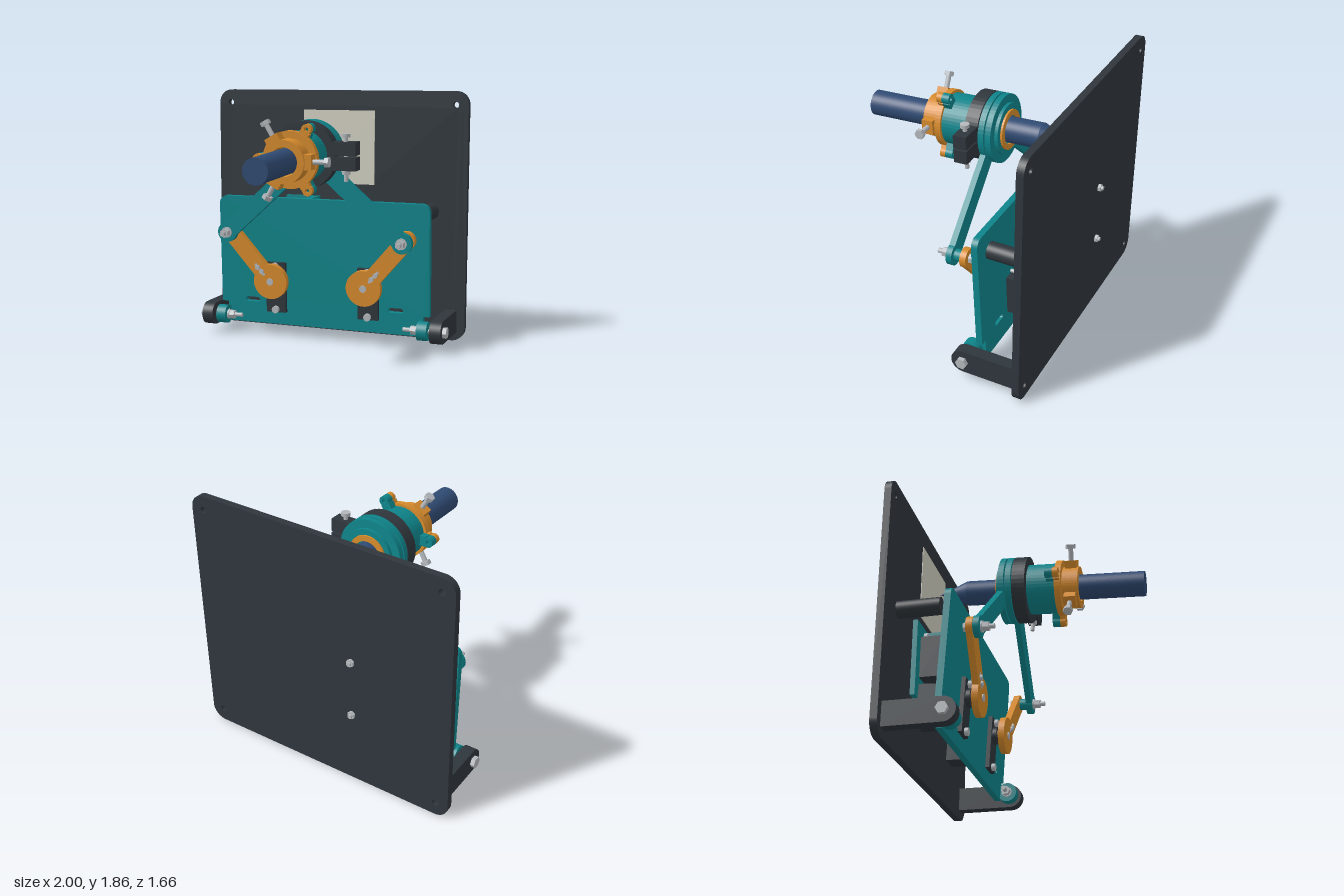
import * as THREE from 'three';

const paint = (name, color) => {
  const m = new THREE.MeshStandardMaterial({ color });
  m.name = name;
  return m;
};
const dark = paint('charcoal', 0x2f363c), teal = paint('teal', 0x0e848a), orange = paint('orange', 0xd58a2c);
const silver = paint('silver', 0xb4b8bc), navy = paint('navy', 0x2f4a72), cream = paint('cream', 0xcfcdbe);

function add(parent, name, geometry, material) {
  const mesh = new THREE.Mesh(geometry, material);
  mesh.name = name;
  parent.add(mesh);
  return mesh;
}

// Box given by its two extreme corners
function box(parent, name, mat, x0, x1, y0, y1, z0, z1) {
  const m = add(parent, name, new THREE.BoxGeometry(x1 - x0, y1 - y0, z1 - z0), mat);
  m.position.set((x0 + x1) / 2, (y0 + y1) / 2, (z0 + z1) / 2);
  return m;
}

// Cylinder along an axis from a to b; u and v are the two other coordinates in xyz order
function rod(parent, name, mat, axis, r, a, b, u, v, sides = 32, rEnd = r) {
  let g = new THREE.CylinderGeometry(rEnd, r, b - a, sides);
  if (sides < 9) { g = g.toNonIndexed(); g.computeVertexNormals(); }
  const mid = (a + b) / 2;
  if (axis === 'x') g.rotateZ(-Math.PI / 2);
  if (axis === 'z') g.rotateX(Math.PI / 2);
  const m = add(parent, name, g, mat);
  if (axis === 'x') m.position.set(mid, u, v);
  else if (axis === 'y') m.position.set(u, mid, v);
  else m.position.set(u, v, mid);
  return m;
}

function extrude(parent, name, mat, shape, z0, z1) {
  const g = new THREE.ExtrudeGeometry(shape, { depth: z1 - z0, bevelEnabled: false, curveSegments: 24 });
  g.translate(0, 0, z0);
  return add(parent, name, g, mat);
}

const hole = (x, y, r) => new THREE.Path().absarc(x, y, r, 0, Math.PI * 2, true);

function ring(parent, name, mat, r, inner, z0, z1, x = 0, y = 0) {
  const s = new THREE.Shape().absarc(x, y, r, 0, Math.PI * 2);
  s.holes.push(hole(x, y, inner));
  return extrude(parent, name, mat, s, z0, z1);
}

function roundedRect(x0, x1, y0, y1, r) {
  const s = new THREE.Shape(), h = Math.PI / 2;
  s.absarc(x1 - r, y1 - r, r, 0, h);
  s.absarc(x0 + r, y1 - r, r, h, 2 * h);
  s.absarc(x0 + r, y0 + r, r, 2 * h, 3 * h);
  s.absarc(x1 - r, y0 + r, r, 3 * h, 4 * h);
  return s;
}

// Lever: two round ends joined by a straight bar of half width w
function lever(parent, name, mat, from, to, r1, r2, w, z0, z1) {
  const dx = to[0] - from[0], dy = to[1] - from[1], len = Math.hypot(dx, dy);
  const a1 = Math.asin(w / r1), a2 = Math.asin(w / r2);
  const s = new THREE.Shape();
  s.absarc(0, 0, r1, a1, 2 * Math.PI - a1);
  s.absarc(len, 0, r2, a2 - Math.PI, Math.PI - a2);
  const m = extrude(parent, name, mat, s, z0, z1);
  m.position.set(from[0], from[1], 0);
  m.rotation.z = Math.atan2(dy, dx);
  return m;
}

function group(parent, name) {
  const g = new THREE.Group();
  g.name = name;
  parent.add(g);
  return g;
}

// Wall plate, paper, hinge brackets and rests
function buildBase(root) {
  const base = group(root, 'base');
  const plate = roundedRect(-1, 1, 0, 1.86, 0.1);
  for (const x of [-0.905, 0.905]) for (const y of [0.1, 1.76]) plate.holes.push(hole(x, y, 0.023));
  extrude(base, 'wallPlate', dark, plate, -0.8, -0.75);
  box(base, 'paper', cream, -0.285, 0.285, 1.15, 1.71, -0.75, -0.745);
  for (const s of [-1, 1]) {
    rod(base, 'rest', dark, 'z', 0.06, -0.75, -0.45, s * 0.73, 0.97);
    const g = group(base, 'hinge');
    const span = (name, mat, r, a, b, n) =>
      rod(g, name, mat, 'x', r, Math.min(s * a, s * b), Math.max(s * a, s * b), 0.15, -0.355, n);
    span('hingeEye', dark, 0.085, 0.855, 0.94);
    const x = s * 0.8975;
    box(g, 'hingeBracket', dark, x - 0.0425, x + 0.0425, 0.065, 0.235, -0.75, -0.355);
    span('hingeBoltHead', silver, 0.042, 0.94, 0.97, 6);
    span('hingeBolt', silver, 0.016, 0.64, 0.95);
    span('hingeWasher', silver, 0.038, 0.74, 0.757);
    span('hingeNut', silver, 0.034, 0.7, 0.74, 6);
  }
}

// Bracket with the lifting servo and its cam
function buildLifter(root) {
  const g = group(root, 'lifter');
  box(g, 'lifterFoot', teal, -0.42, -0.15, 0.49, 1.05, -0.75, -0.715);
  box(g, 'lifterWeb', teal, -0.195, -0.15, 0.49, 1.05, -0.715, -0.48);
  box(g, 'lifterServo', dark, -0.445, -0.195, 0.6, 0.9, -0.68, -0.525);
  box(g, 'lifterServoFlange', dark, -0.15, -0.125, 0.555, 0.94, -0.68, -0.525);
  rod(g, 'lifterShaft', dark, 'x', 0.045, -0.15, -0.06, 0.825, -0.6);
  rod(g, 'lifterCam', orange, 'x', 0.133, -0.06, -0.015, 0.87, -0.555, 48);
  rod(g, 'camScrew', silver, 'x', 0.026, -0.02, 0, 0.825, -0.6);
  for (const y of [0.58, 0.915]) rod(g, 'lifterServoScrew', silver, 'x', 0.026, -0.13, -0.1, y, -0.6);
  for (const y of [0.56, 0.99]) {
    rod(g, 'footBolt', silver, 'z', 0.015, -0.835, -0.7, -0.25, y);
    rod(g, 'footNut', silver, 'z', 0.028, -0.82, -0.8, -0.25, y, 6);
    rod(g, 'footBoltHead', silver, 'z', 0.03, -0.715, -0.69, -0.25, y);
  }
}

// Swinging plate carrying two servos with arms and links
function buildCarriage(head) {
  const s = new THREE.Shape();
  s.moveTo(-0.775, 0.09).lineTo(0.775, 0.09).lineTo(0.775, 0.24).lineTo(0.825, 0.24);
  s.absarc(0.765, 1.005, 0.06, 0, Math.PI / 2);
  s.absarc(-0.765, 1.005, 0.06, Math.PI / 2, Math.PI);
  s.lineTo(-0.825, 0.24).lineTo(-0.775, 0.24).closePath();
  for (const x of [-0.57, 0.57]) {
    const slot = new THREE.Path();
    slot.absarc(x + 0.04, 0.27, 0.018, -Math.PI / 2, Math.PI / 2);
    slot.absarc(x - 0.04, 0.27, 0.018, Math.PI / 2, Math.PI * 1.5);
    s.holes.push(slot);
  }
  extrude(head, 'swingPlate', teal, s, -0.45, -0.405);

  for (const k of [-1, 1]) {
    const g = group(head, k > 0 ? 'leftArmDrive' : 'rightArmDrive');
    const sx = k * 0.365, ex = k * 0.685, ey = 0.82;
    rod(g, 'hingeKnuckle', teal, 'x', 0.07, k * 0.7925 - 0.0375, k * 0.7925 + 0.0375, 0.15, -0.355);
    box(g, 'servo', dark, sx - 0.078, sx + 0.078, 0.25, 0.535, -0.7, -0.45);
    box(g, 'servoFlange', dark, sx - 0.078, sx + 0.078, 0.19, 0.575, -0.405, -0.375);
    rod(g, 'servoShaft', dark, 'z', 0.062, -0.375, -0.345, sx, 0.45);
    rod(g, 'servoHorn', dark, 'z', 0.045, -0.345, -0.315, sx, 0.45);
    for (const y of [0.213, 0.55]) {
      rod(g, 'servoScrewHead', silver, 'z', 0.027, -0.375, -0.35, sx, y);
      rod(g, 'servoScrew', silver, 'z', 0.013, -0.5, -0.37, sx, y);
    }
    lever(g, 'servoArm', orange, [sx, 0.45], [ex, ey], 0.132, 0.068, 0.064, -0.315, -0.27);
    rod(g, 'armScrew', silver, 'z', 0.026, -0.275, -0.262, sx, 0.45);
    for (const d of [0, 0.045]) {
      rod(g, 'hornScrew', silver, 'z', 0.018, -0.33, -0.255, sx + k * (0.065 + d * 0.7), 0.525 + d * 0.7, 16);
    }
    const slit = box(g, 'hornSlot', silver, -0.055, 0.055, -0.01, 0.01, -0.003, 0.003);
    slit.position.set(sx + k * 0.08, 0.54, -0.269);
    slit.rotation.z = k * 0.86;

    // Link and elbow bolt; the left link lies in front of the right one
    const z0 = k > 0 ? -0.213 : -0.265, z1 = z0 + 0.042;
    lever(g, 'link', teal, [0, 1.435], [ex, ey], 0.24, 0.074, 0.062, z0, z1);
    if (k > 0) rod(g, 'elbowSpacer', teal, 'z', 0.042, -0.27, z0, ex, ey);
    rod(g, 'elbowWasher', silver, 'z', 0.04, z1, z1 + 0.012, ex, ey);
    rod(g, 'elbowNut', silver, 'z', 0.034, z1 + 0.012, z1 + 0.055, ex, ey, 6);
    rod(g, 'elbowBolt', silver, 'z', 0.017, -0.32, z1 + 0.09, ex, ey);
    rod(g, 'elbowBoltHead', silver, 'z', 0.034, -0.342, -0.315, ex, ey, 6);
  }
}

// Pen with its sleeve, clamp ring and screw collar, all along one axis
function buildPenHolder(head) {
  const g = group(head, 'penHolder');
  g.position.set(0, 1.435, -0.064);
  rod(g, 'pen', navy, 'z', 0.09, -0.475, 0.825, 0, 0, 48);
  rod(g, 'penTip', navy, 'z', 0.0005, -0.692, -0.475, 0, 0, 48, 0.09);
  ring(g, 'sleeve', teal, 0.18, 0.1, -0.225, 0.2);
  ring(g, 'sleeveRearCap', orange, 0.14, 0.1, -0.24, -0.225);
  ring(g, 'clampRing', dark, 0.24, 0.17, -0.1, -0.005);
  for (const k of [-1, 1]) box(g, 'clampEar', dark, 0.2, 0.388, k > 0 ? 0.006 : -0.1, k > 0 ? 0.1 : -0.006, -0.1, -0.005);
  rod(g, 'clampBolt', silver, 'y', 0.015, -0.18, 0.14, 0.302, -0.052);
  rod(g, 'clampBoltHead', silver, 'y', 0.032, 0.13, 0.155, 0.302, -0.052);
  rod(g, 'clampNut', silver, 'y', 0.03, -0.13, -0.1, 0.302, -0.052, 6);

  ring(g, 'collarFlange', orange, 0.2, 0.1, 0.2, 0.245);
  ring(g, 'collar', orange, 0.15, 0.1, 0.245, 0.36);
  for (let i = 0; i < 3; i++) {
    const lug = group(g, 'fixingLug');
    lug.rotation.z = Math.PI / 3 + i * Math.PI * 2 / 3;
    ring(lug, 'flangeLobe', orange, 0.036, 0.015, 0.2, 0.24, 0.243);
    box(lug, 'flangeLobeNeck', orange, 0.17, 0.222, -0.036, 0.036, 0.2, 0.239);
    ring(lug, 'sleeveLobe', teal, 0.036, 0.015, 0.145, 0.2, 0.243);
    box(lug, 'sleeveLobeNeck', teal, 0.16, 0.222, -0.036, 0.036, 0.146, 0.2);

    const jaw = group(g, 'collarScrew');
    jaw.rotation.z = i * Math.PI * 2 / 3;
    box(jaw, 'screwBoss', orange, 0.13, 0.195, -0.052, 0.052, 0.262, 0.345);
    rod(jaw, 'screwShank', silver, 'x', 0.018, 0.1, 0.29, 0, 0.302, 20);
    rod(jaw, 'screwHead', silver, 'x', 0.036, 0.28, 0.31, 0, 0.302, 6);
  }
}

export function createModel() {
  const root = new THREE.Group();
  root.name = 'penPlotter';
  buildBase(root);
  buildLifter(root);
  // Everything on the swing plate leans forward about the hinge bolts
  const swing = group(root, 'swingAssembly');
  swing.position.set(0, 0.15, -0.355);
  swing.rotation.x = 0.05;
  const head = group(swing, 'swingParts');
  head.position.set(0, -0.15, 0.355);
  buildCarriage(head);
  buildPenHolder(head);
  return root;
}
